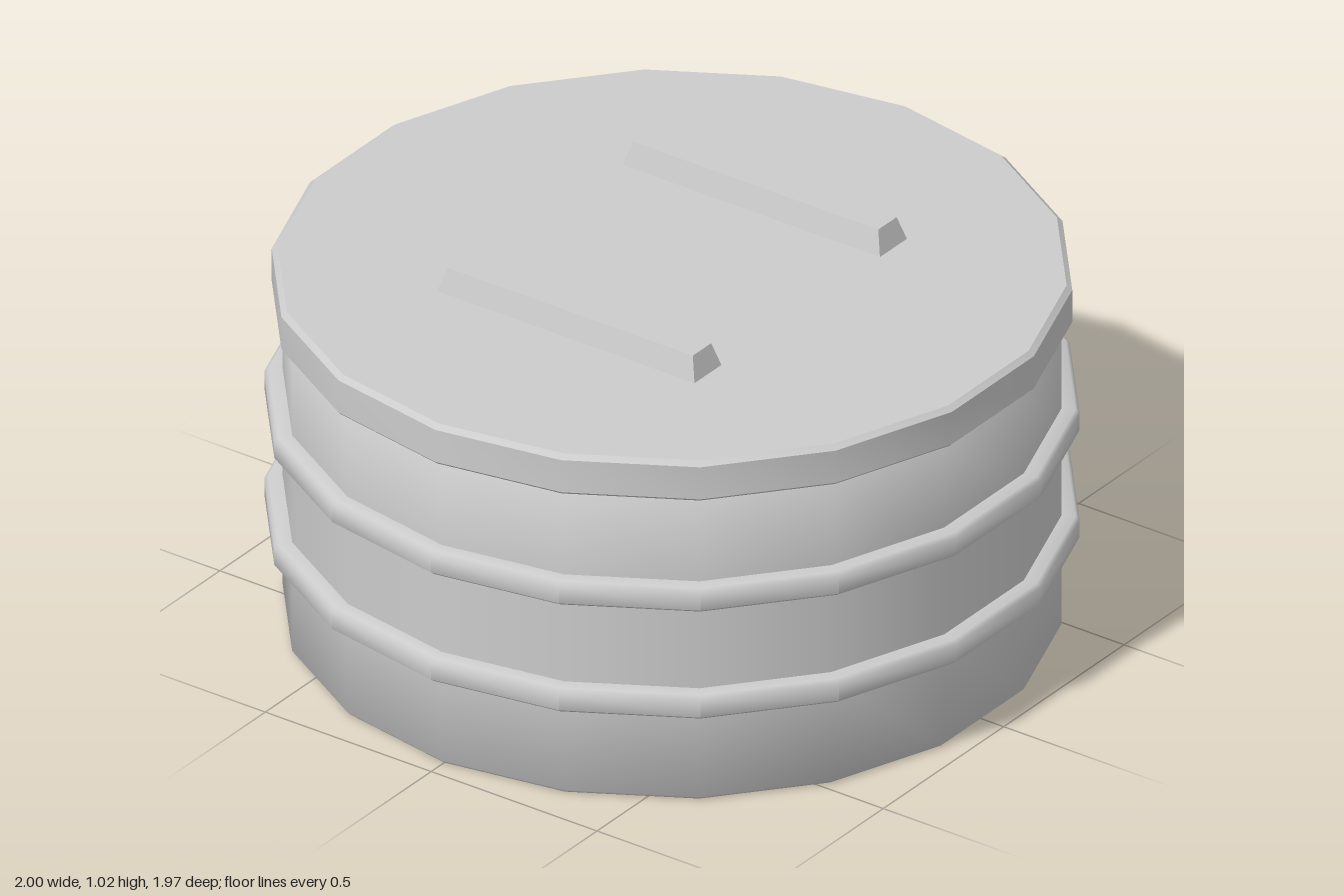
import * as THREE from 'three';
import { toCreasedNormals } from 'three/addons/utils/BufferGeometryUtils.js';

const SIDES = 18;
const material = new THREE.MeshStandardMaterial({ color: 0xcccccc });

// Eighteen-sided turned part with corners on the x axis; profile is [radius, y] from bottom to top
function turned(name, profile, crease = 0.9) {
  const points = profile.map(([r, y]) => new THREE.Vector2(r, y));
  const lathe = new THREE.LatheGeometry(points, SIDES, Math.PI / 2);
  const mesh = new THREE.Mesh(toCreasedNormals(lathe, crease), material);
  mesh.name = name;
  return mesh;
}

// Bar whose top is narrower and shorter than its base
function taperedBar(width, height, length, inset) {
  const geometry = new THREE.BoxGeometry(width, height, length);
  const p = geometry.attributes.position;
  for (let i = 0; i < p.count; i++) {
    if (p.getY(i) > 0) {
      p.setX(i, p.getX(i) - Math.sign(p.getX(i)) * inset);
      p.setZ(i, p.getZ(i) - Math.sign(p.getZ(i)) * inset);
    }
  }
  return toCreasedNormals(geometry, 0.3);
}

export function createModel() {
  const model = new THREE.Group();
  model.name = 'container';

  // Drum wall with small chamfers at both ends
  model.add(turned('drum', [
    [0, 0], [0.945, 0], [0.955, 0.01], [0.955, 0.28], [0.955, 0.58],
    [0.955, 0.835], [0.935, 0.855], [0, 0.855],
  ]));

  // Two reinforcing hoops
  for (const [name, y] of [['lowerHoop', 0.25], ['upperHoop', 0.55]]) {
    model.add(turned(name, [
      [0.94, y], [0.99, y], [1, y + 0.008], [1, y + 0.055], [0.99, y + 0.065], [0.94, y + 0.065],
    ]));
  }

  // Overhanging lid
  model.add(turned('lid', [
    [0, 0.853], [0.975, 0.853], [0.982, 0.86], [0.982, 0.95], [0.968, 0.962], [0, 0.962],
  ], 0.6));

  // Pair of grip bars on the lid
  for (const side of [-1, 1]) {
    const bar = new THREE.Mesh(taperedBar(0.116, 0.07, 0.78, 0.02), material);
    bar.name = side > 0 ? 'leftGrip' : 'rightGrip';
    bar.position.set(side * 0.385, 0.99, 0);
    model.add(bar);
  }
  return model;
}
